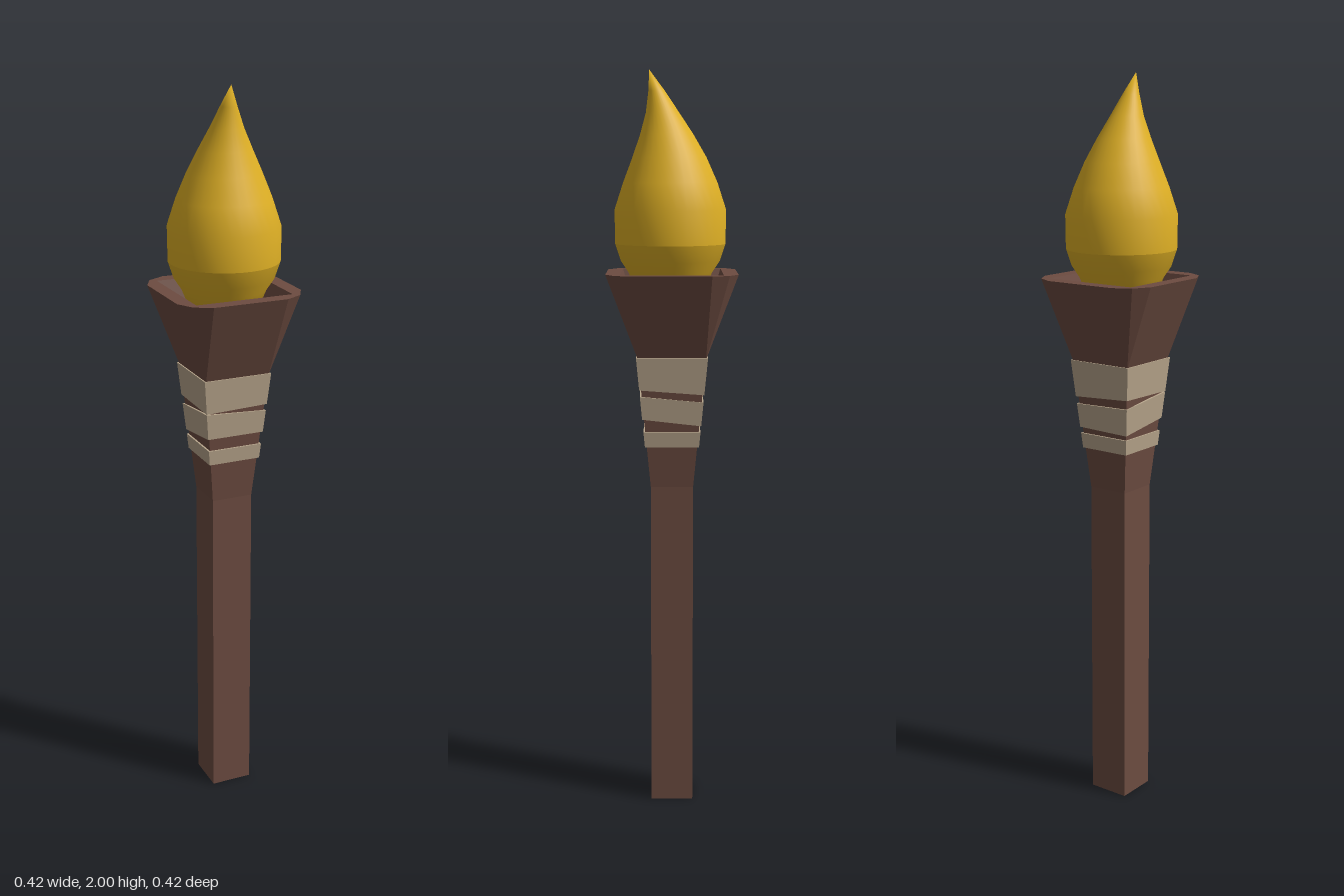
import * as THREE from 'three';
import { mergeVertices } from 'three/addons/utils/BufferGeometryUtils.js';

const TWIST = 0.095; // the square shaft stands corner-on, turned slightly

// Square loop, three points per corner: r = corner radius,
// in/out = how the two chamfer points sit beside it; y may differ per corner.
function squareLoop(r, y, chamferR = r, chamferW = 0) {
  const loop = [];
  for (let k = 0; k < 4; k++) {
    const a = TWIST + k * Math.PI / 2, s = Math.sin(a), c = Math.cos(a);
    const h = Array.isArray(y) ? y[k] : y;
    const rad = Array.isArray(r) ? r[k] : r;
    const cr = Array.isArray(chamferR) ? chamferR[k] : chamferR;
    for (const [u, v] of [[cr, -chamferW], [rad, 0], [cr, chamferW]]) {
      loop.push(new THREE.Vector3(u * s + v * c, h, u * c - v * s));
    }
  }
  return loop;
}

// Skin a list of loops with flat faces, skipping collapsed triangles
function loft(loops) {
  const pos = [];
  const tri = (a, b, c) => {
    if (new THREE.Triangle(a, b, c).getArea() > 1e-8) {
      for (const p of [a, b, c]) pos.push(p.x, p.y, p.z);
    }
  };
  for (let j = 0; j < loops.length - 1; j++) {
    const lo = loops[j], hi = loops[j + 1], n = lo.length;
    for (let i = 0; i < n; i++) {
      const k = (i + 1) % n;
      tri(lo[i], lo[k], hi[k]);
      tri(lo[i], hi[k], hi[i]);
    }
  }
  const geo = new THREE.BufferGeometry();
  geo.setAttribute('position', new THREE.Float32BufferAttribute(pos, 3));
  geo.computeVertexNormals();
  return geo;
}

// Smooth round section whose upper part leans toward the front left
function flameSection(profile) {
  const geo = new THREE.LatheGeometry(profile.map(([r, y]) => new THREE.Vector2(r, y)), 32);
  const p = geo.attributes.position;
  for (let i = 0; i < p.count; i++) {
    const t = Math.max(0, (p.getY(i) - 1.72) / 0.28);
    const lean = 0.003 + 0.039 * t * t;
    p.setX(i, p.getX(i) + lean);
    p.setZ(i, p.getZ(i) + lean);
  }
  geo.deleteAttribute('normal');
  geo.deleteAttribute('uv');
  const merged = mergeVertices(geo, 1e-5);
  merged.computeVertexNormals();
  return merged;
}

export function createModel() {
  const group = new THREE.Group();
  const material = (name, color) => {
    const m = new THREE.MeshStandardMaterial({ color });
    m.name = name;
    return m;
  };
  const wood = material('brown wood', 0x6d4c41);
  const cloth = material('pale cloth', 0xb8a68c);
  const fire = material('golden flame', 0xdfb025);
  const add = (name, geo, mat) => {
    const mesh = new THREE.Mesh(geo, mat);
    mesh.name = name;
    group.add(mesh);
  };

  // Shaft flaring into a hollow cup with chamfered rim corners
  add('shaftAndCup', loft([
    squareLoop(0, 0),
    squareLoop(0.081, 0),
    squareLoop(0.081, 0.9),
    squareLoop(0.127, 1.25),
    squareLoop(0.211, 1.475, 0.196, 0.05),
    squareLoop(0.19, 1.475),
    squareLoop(0.16, 1.405),
    squareLoop(0, 1.405),
  ]), wood);

  // Cloth wraps; heights listed for the front, left, back and right corners
  const woodRadius = y => 0.081 + (y - 0.9) / 0.35 * 0.046;
  const wraps = [
    ['upperWrap', [1.162, 1.168, 1.155, 1.165], [1.255, 1.255, 1.255, 1.255]],
    ['middleWrap', [1.088, 1.088, 1.07, 1.066], [1.16, 1.15, 1.135, 1.14]],
    ['lowerWrap', [1.012, 1.012, 1.012, 1.012], [1.053, 1.053, 1.053, 1.053]],
  ];
  for (const [name, low, high] of wraps) {
    const ring = (ys, gap) => squareLoop(ys.map(y => woodRadius(y) + gap), ys);
    add(name, loft([ring(low, -0.004), ring(low, 0.007), ring(high, 0.007), ring(high, -0.004)]), cloth);
  }

  // Flame: rounded base in the cup, then a leaning teardrop
  add('flameBase', flameSection([[0, 1.41], [0.085, 1.41], [0.112, 1.475], [0.132, 1.505], [0.147, 1.55]]), fire);
  add('flameBody', flameSection([[0.147, 1.55], [0.148, 1.64], [0.125, 1.71], [0.098, 1.775],
    [0.07, 1.835], [0.044, 1.89], [0.022, 1.945], [0, 2]]), fire);

  return group;
}
